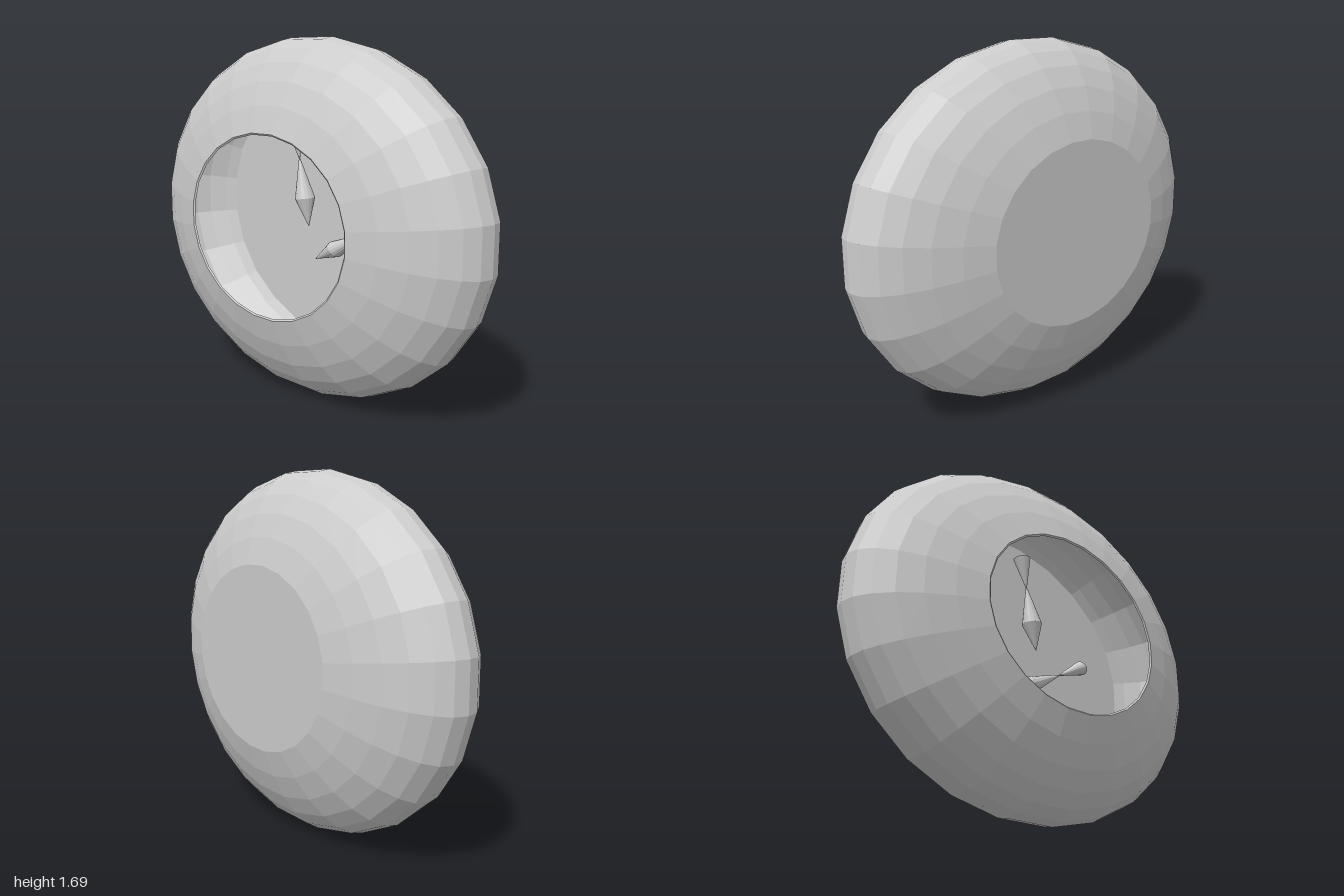
import * as THREE from 'three';

const SIDES = 24;
const OVAL = 0.845;                        // height relative to width
const CORNER = 1 / Math.cos(Math.PI / SIDES); // flats, not corners, touch the axes

export function createModel() {
  const model = new THREE.Group();
  const material = new THREE.MeshStandardMaterial({
    color: 0xcccccc, flatShading: true, side: THREE.DoubleSide,
  });

  // everything is built round, then squashed into an oval
  const clock = new THREE.Group();
  clock.name = 'clock';
  clock.scale.y = OVAL;
  clock.position.y = OVAL;
  model.add(clock);

  // point on the rounded profile at a latitude in degrees
  const profilePoint = (latitude, scale) => {
    const a = THREE.MathUtils.degToRad(latitude);
    return new THREE.Vector2(Math.cos(a) * CORNER * scale, 0.37 * Math.sin(a) * scale);
  };

  // hollow case: flat back, rounded outside, thin lip, inner wall, dial floor
  const profile = [new THREE.Vector2(0, -0.32)];
  for (let lat = -60; lat <= 60; lat += 10) profile.push(profilePoint(lat, 1));
  for (let lat = 60; lat >= -30; lat -= 10) profile.push(profilePoint(lat, 0.982));
  profile.push(new THREE.Vector2(0.805, -0.21), new THREE.Vector2(0, -0.21));
  const caseGeometry = new THREE.LatheGeometry(profile, SIDES, Math.PI / SIDES);
  caseGeometry.rotateX(Math.PI / 2);
  const body = new THREE.Mesh(caseGeometry, material);
  body.name = 'case';
  clock.add(body);

  // hands: a pointed spindle joined to a flaring tail, running from tip to tail
  const handProfile = [[0, 0], [0.048, 0.16], [0.003, 0.385], [0.042, 0.565], [0, 0.565]]
    .map(([r, y]) => new THREE.Vector2(r, y));
  const handGeometry = new THREE.LatheGeometry(handProfile, 16);
  const addHand = (name, x, y, z, dx, dy) => {
    const hand = new THREE.Mesh(handGeometry, material);
    hand.name = name;
    hand.position.set(x, y, z);
    hand.rotation.z = Math.atan2(-dx, dy);
    clock.add(hand);
  };
  addHand('upperHand', 0.01, -0.041, 0.03, -0.085, 0.52);
  addHand('sideHand', -0.06, -0.266, -0.085, 0.485, 0.307);

  return model;
}
